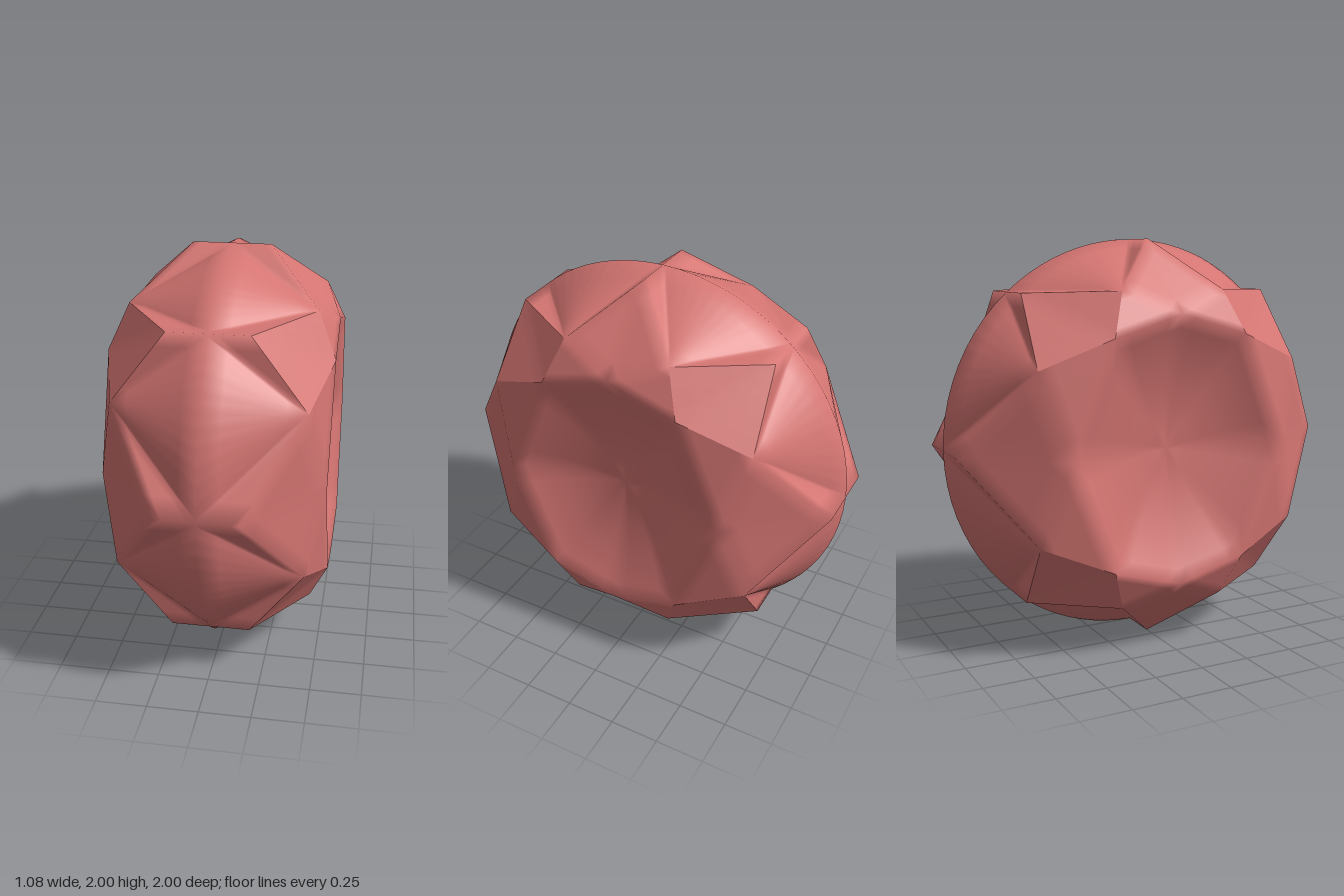
import * as THREE from 'three';
import { mergeVertices } from 'three/addons/utils/BufferGeometryUtils.js';

const SPLIT = 5; // divisions along each facet edge, keeps the rounding of edges narrow

// Eight points round the x axis from one quadrant: [y, z] at the top, the diagonals and the front
function octet(xMain, xDiagonal, top, [y, z], front) {
  return [[top, 0], [y, z], [0, front], [-y, z], [-top, 0], [-y, -z], [0, -front], [y, -z]]
    .map(([b, c], i) => new THREE.Vector3(i % 2 ? xDiagonal : xMain, b, c));
}

// Eight points lying between the octet points
function between(x, [y1, z1], [y2, z2]) {
  return [[y1, z1], [y2, z2], [-y2, z2], [-y1, z1], [-y1, -z1], [-y2, -z2], [y2, -z2], [y1, -z1]]
    .map(([b, c]) => new THREE.Vector3(x, b, c));
}

const tips = octet(0.19, 0.19, 1, [0.748, 0.664], 1);
const hollows = between(0.45, [0.76, 0.27], [0.41, 0.69]);
const shoulders = octet(0.535, 0.54, 0.65, [0.55, 0.35], 0.57);
const next = (list, i) => list[(i + 1) % 8];

// Divides a flat triangle into a regular grid of small ones
function divide([a, b, c]) {
  const at = (i, j) => a.clone()
    .addScaledVector(b.clone().sub(a), i / SPLIT)
    .addScaledVector(c.clone().sub(a), j / SPLIT);
  const out = [];
  for (let i = 0; i < SPLIT; i++) {
    for (let j = 0; j < SPLIT - i; j++) {
      out.push([at(i, j), at(i + 1, j), at(i, j + 1)]);
      if (i + j < SPLIT - 1) out.push([at(i + 1, j), at(i + 1, j + 1), at(i, j + 1)]);
    }
  }
  return out;
}

// Smooth geometry covering both the +x and -x sides
function mirrored(triangles) {
  const pos = [];
  for (const [a, b, c] of triangles) {
    for (const p of [a, b, c]) pos.push(p.x, p.y, p.z);
    for (const p of [a, c, b]) pos.push(-p.x, p.y, p.z);
  }
  const g = new THREE.BufferGeometry();
  g.setAttribute('position', new THREE.Float32BufferAttribute(pos, 3));
  const merged = mergeVertices(g, 1e-4);
  merged.computeVertexNormals();
  return merged;
}

// Four-cornered facet between a tip and a shoulder
function kite(i) {
  const t = tips[i], b = shoulders[i];
  return [[t, hollows[i], b], [t, b, hollows[(i + 7) % 8]]].flatMap(divide);
}

// Circular ridge on the middle plane, fanned to the hollow between two tips
function ridge(i) {
  const t = tips[i], t2 = next(tips, i), steps = 10;
  const start = Math.atan2(t.z, t.y);
  let sweep = Math.atan2(t2.z, t2.y) - start;
  if (sweep < 0) sweep += Math.PI * 2;
  const rim = [t];
  for (let k = 0; k <= steps; k++) {
    const ang = start + sweep * k / steps;
    rim.push(new THREE.Vector3(0, Math.cos(ang), Math.sin(ang)));
  }
  rim.push(t2);
  return rim.slice(1).flatMap((p, k) => divide([rim[k], p, hollows[i]]));
}

// Shallow concave dish on the flat side
function dish() {
  const edge = [];
  for (let i = 0; i < 8; i++) {
    for (let k = 0; k < SPLIT; k++) edge.push(shoulders[i].clone().lerp(next(shoulders, i), k / SPLIT));
  }
  const rings = 10;
  const at = (j, r) => {
    const s = r / rings, p = edge[j % edge.length];
    return new THREE.Vector3(p.x - 0.15 * (1 - s * s), p.y * s, p.z * s);
  };
  const centre = new THREE.Vector3(0.388, 0, 0);
  const tris = [];
  for (let j = 0; j < edge.length; j++) {
    tris.push([at(j, 1), at(j + 1, 1), centre]);
    for (let r = rings; r > 1; r--) {
      tris.push([at(j, r), at(j + 1, r), at(j, r - 1)], [at(j + 1, r), at(j + 1, r - 1), at(j, r - 1)]);
    }
  }
  return tris;
}

export function createModel() {
  const group = new THREE.Group();
  group.name = 'facetedStone';
  const coral = new THREE.MeshStandardMaterial({ color: 0xd47572 });
  coral.name = 'coral red';
  const add = (name, triangles) => {
    const mesh = new THREE.Mesh(mirrored(triangles), coral);
    mesh.name = name;
    mesh.position.y = 1;
    group.add(mesh);
  };
  const body = dish();
  for (let i = 0; i < 8; i++) {
    body.push(...ridge(i), ...divide([hollows[i], next(shoulders, i), shoulders[i]]));
    // the diagonal facets keep sharp borders, the others blend into the body
    if (i % 2) add('diagonalFacet', kite(i));
    else body.push(...kite(i));
  }
  add('stoneBody', body);
  return group;
}
